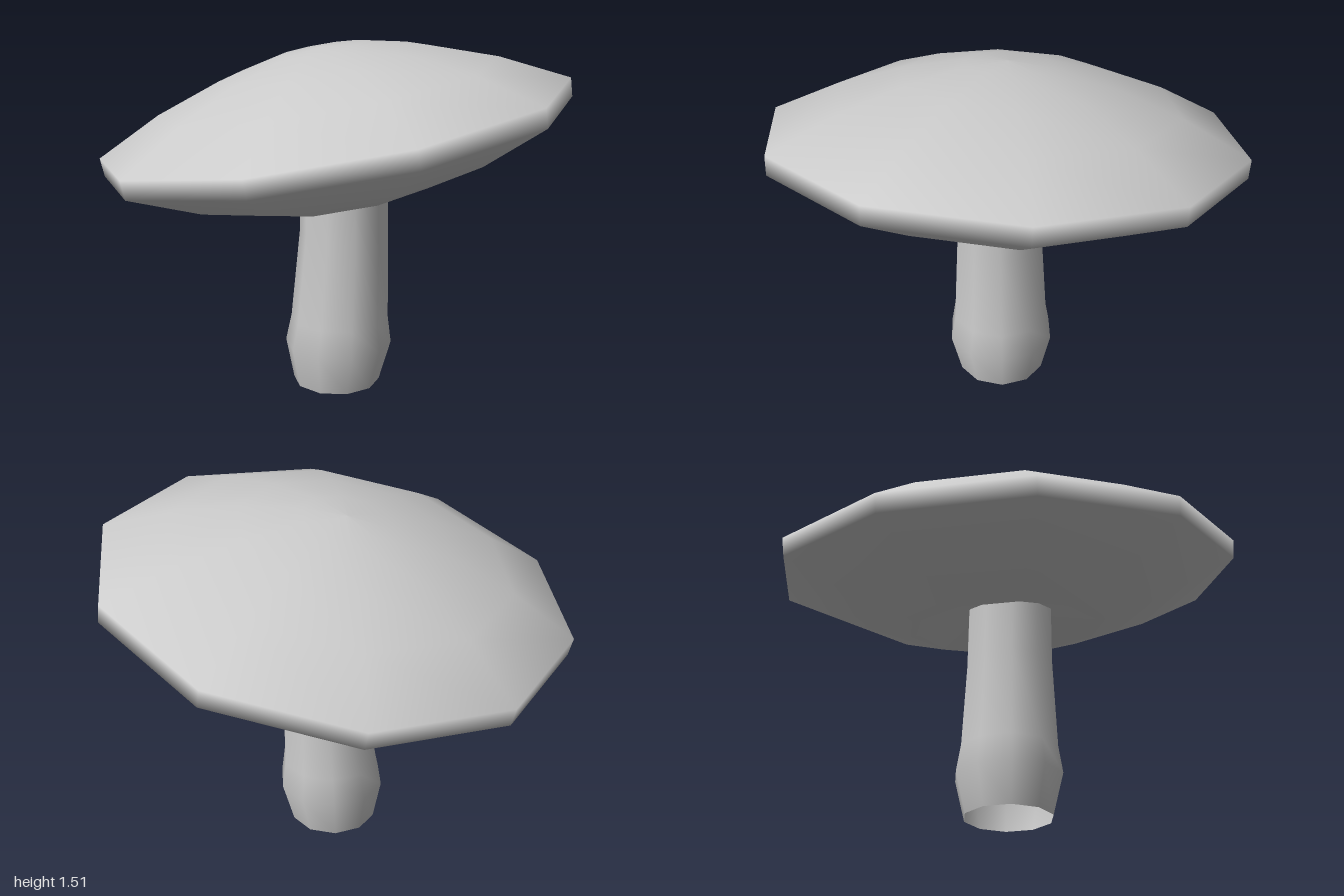
import * as THREE from 'three';

const SIDES = 10;
const grey = () => new THREE.MeshStandardMaterial({ color: 0xcccccc, side: THREE.DoubleSide });
const lathe = (profile, phi) =>
  new THREE.LatheGeometry(profile.map(([r, y]) => new THREE.Vector2(r, y)), SIDES, phi);

// Cap: closed ten-sided shell with a recess around the stem, tipped to one side
function makeCap() {
  const profile = [
    [0, -0.18], [0.22, -0.2], [0.425, -0.275], [0.7, -0.19], [1.01, -0.045], // underside
    [1.015, 0.035],                                                          // rim
    [0.73, 0.175], [0.45, 0.272], [0.19, 0.333], [0, 0.346],                 // dome
  ];
  const cap = new THREE.Mesh(lathe(profile, THREE.MathUtils.degToRad(21.4)), grey());
  cap.name = 'cap';
  cap.position.set(0, 1.15, 0);
  cap.rotation.set(-0.048, 0, 0.178);
  return cap;
}

// Stem: open tube with a swollen foot, leaning gently as it rises
function makeStem() {
  const profile = [[0.19, 0], [0.233, 0.18], [0.213, 0.3], [0.191, 0.7], [0.187, 1.0]];
  const geometry = lathe(profile, THREE.MathUtils.degToRad(18));
  const p = geometry.attributes.position;
  for (let i = 0; i < p.count; i++) {
    const y = p.getY(i);
    p.setX(i, p.getX(i) + 0.01 + 0.033 * Math.min(1, y / 0.7));
    p.setZ(i, p.getZ(i) + 0.018 + 0.009 * y);
  }
  const stem = new THREE.Mesh(geometry, grey());
  stem.name = 'stem';
  return stem;
}

export function createModel() {
  const mushroom = new THREE.Group();
  mushroom.name = 'mushroom';
  mushroom.add(makeStem(), makeCap());
  return mushroom;
}
